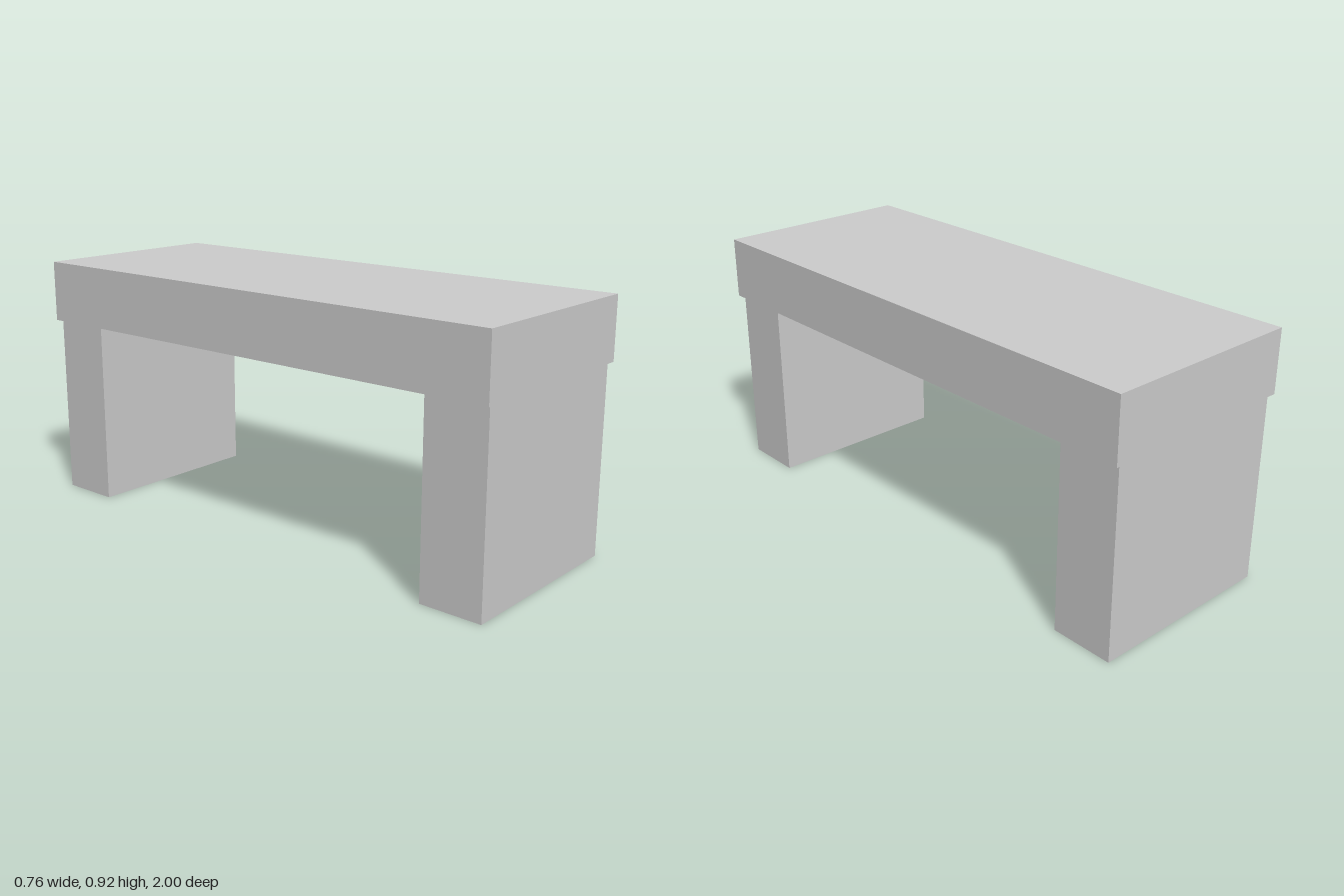
import * as THREE from 'three';

const HEIGHT = 0.92;
const LEG_HEIGHT = 0.69;

export function createModel() {
  const group = new THREE.Group();
  group.name = 'bench';
  const material = new THREE.MeshStandardMaterial({ color: 0xcccccc, flatShading: true });

  // Adds a box standing on the given height
  const addBox = (name, width, height, depth, bottom, z) => {
    const mesh = new THREE.Mesh(new THREE.BoxGeometry(width, height, depth), material);
    mesh.name = name;
    mesh.position.set(0, bottom + height / 2, z);
    group.add(mesh);
  };

  // Thick seat slab, overhanging the legs slightly
  addBox('seat', 0.764, HEIGHT - LEG_HEIGHT, 2, LEG_HEIGHT, 0);

  // Solid block legs at both ends
  for (const [name, side] of [['frontLeg', 1], ['backLeg', -1]]) {
    addBox(name, 0.72, LEG_HEIGHT, 0.232, 0, side * 0.874);
  }

  return group;
}
